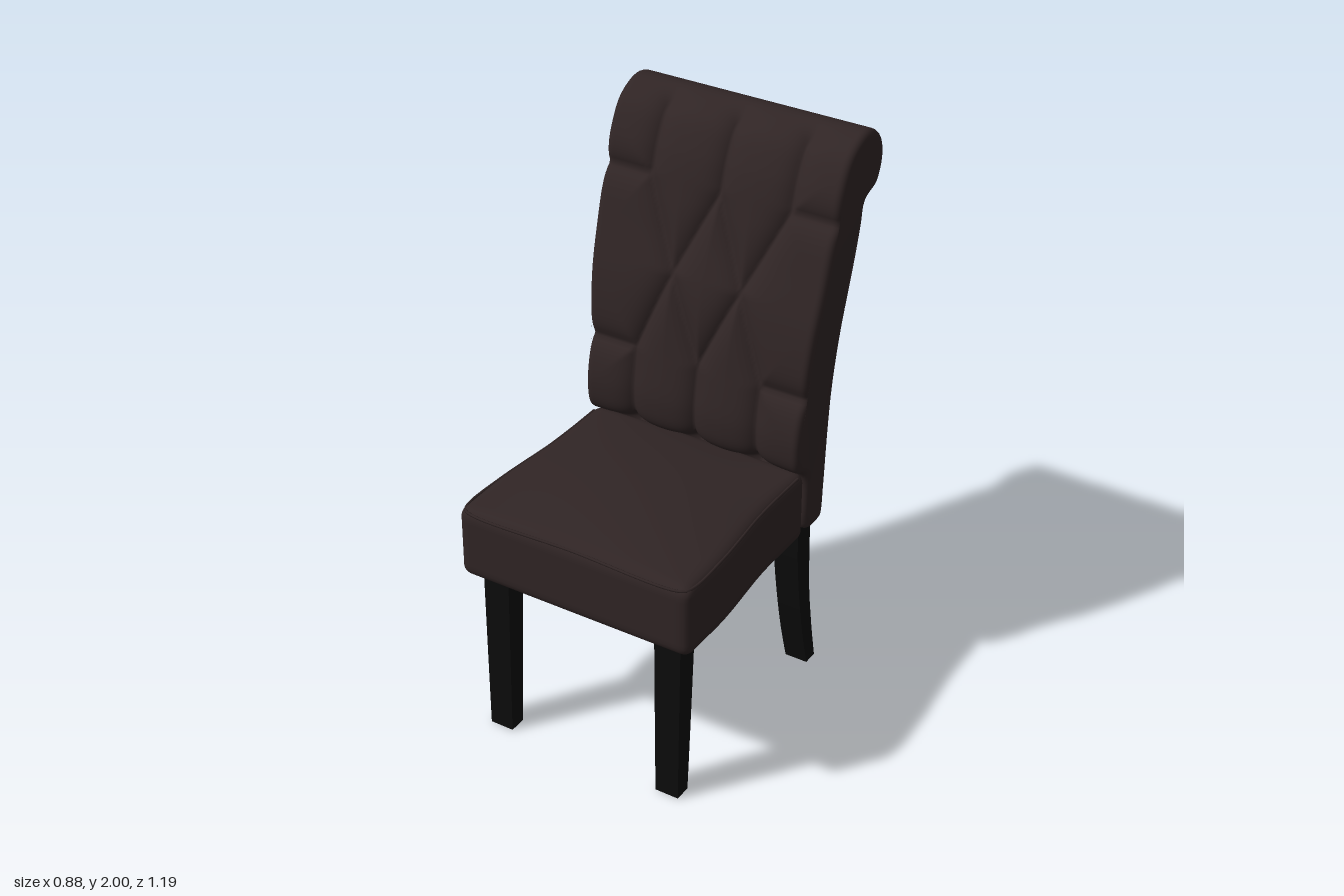
import * as THREE from 'three';
import { mergeVertices } from 'three/addons/utils/BufferGeometryUtils.js';

const { smoothstep, clamp } = THREE.MathUtils;

// Side outline of the backrest as [z, y], up the front, over the roll, down the rear
const BACK_PROFILE = [
  [-0.21, 0.64], [-0.195, 0.68], [-0.19, 0.86], [-0.135, 0.905], [-0.12, 0.99], [-0.145, 1.18],
  [-0.18, 1.40], [-0.232, 1.58], [-0.265, 1.70], [-0.315, 1.86], [-0.38, 1.96], [-0.485, 2.0],
  [-0.565, 1.96], [-0.59, 1.88], [-0.555, 1.79], [-0.48, 1.755], [-0.464, 1.69], [-0.415, 1.50],
  [-0.38, 1.34], [-0.34, 1.02], [-0.32, 0.76], [-0.31, 0.66], [-0.295, 0.64],
];

// Tufting seams of the right half as [x1, y1, x2, y2]
const SEAMS = [
  [0, 1.75, 0, 1.97], [0.26, 1.75, 0.26, 1.97], [0.26, 1.75, 0.5, 1.75],
  [0, 1.75, 0.13, 1.46], [0.26, 1.75, 0.13, 1.46],
  [0.13, 1.46, 0, 1.17], [0.13, 1.46, 0.25, 1.17],
  [0.25, 1.17, 0.5, 1.17], [0, 1.17, 0, 0.85], [0.25, 1.17, 0.25, 0.85],
];

function seamDistance(x, y) {
  let best = 1;
  for (const [x1, y1, x2, y2] of SEAMS) {
    const dx = x2 - x1, dy = y2 - y1;
    const t = clamp(((x - x1) * dx + (y - y1) * dy) / (dx * dx + dy * dy), 0, 1);
    best = Math.min(best, Math.hypot(x - x1 - t * dx, y - y1 - t * dy));
  }
  return best;
}

const widthScale = (y) => 0.95 + 0.05 * smoothstep(y, 1.05, 1.65);

// Backrest outline points with outward normals
function backOutline(count) {
  const curve = new THREE.CatmullRomCurve3(
    BACK_PROFILE.map(([z, y]) => new THREE.Vector3(z, y, 0)), true, 'centripetal');
  const pts = curve.getSpacedPoints(count).slice(0, count);
  return pts.map((p, j) => {
    const a = pts[(j + count - 1) % count], b = pts[(j + 1) % count];
    const len = Math.hypot(b.x - a.x, b.y - a.y);
    return { z: p.x, y: p.y, nz: (b.y - a.y) / len, ny: -(b.x - a.x) / len };
  });
}

// Padded shell: the outline swept across x, with rounded ends and pressed-in seams
function backShell(outline, flat, r) {
  const stations = [];
  for (let k = 0; k <= 5; k++) {
    const a = (k / 5) * Math.PI / 2;
    stations.push([-flat - r * Math.cos(a), r * (1 - Math.sin(a))]);
  }
  const steps = 104;
  for (let i = 1; i < steps; i++) stations.push([-flat + (2 * flat * i) / steps, 0]);
  for (let k = 5; k >= 0; k--) stations.push([-stations[k][0], stations[k][1]]);

  const n = outline.length, pos = [], index = [];
  stations.forEach(([x, inset], i) => {
    outline.forEach((p, j) => {
      const ax = Math.abs(x);
      let push = -inset;
      if (p.nz > 0 && p.y > 0.86) {
        push -= 0.034 * Math.exp(-seamDistance(ax, p.y) / 0.035) * smoothstep(p.nz, 0.1, 0.6);
      } else if (p.nz < -0.8 && p.y < 1.73) {
        push -= 0.013 * Math.exp(-Math.min(ax, Math.abs(ax - 0.22)) / 0.025);
      }
      pos.push(x * widthScale(p.y), p.y + p.ny * push, p.z + p.nz * push);
      if (i < stations.length - 1) {
        const k = (j + 1) % n;
        const a = i * n + j, b = a + n, c = (i + 1) * n + k, d = i * n + k;
        index.push(a, b, c, a, c, d);
      }
    });
  });
  const g = new THREE.BufferGeometry();
  g.setAttribute('position', new THREE.Float32BufferAttribute(pos, 3));
  g.setIndex(index);
  g.computeVertexNormals();
  return g;
}

// Flat side panel closing the shell; side is +1 or -1
function backSide(outline, halfWidth, r, side) {
  const shape = new THREE.Shape(outline.map((p) =>
    new THREE.Vector2(-side * (p.z - p.nz * r), p.y - p.ny * r)));
  const g = new THREE.ShapeGeometry(shape).rotateY(side * Math.PI / 2);
  const pos = g.attributes.position;
  for (let i = 0; i < pos.count; i++) pos.setX(i, side * halfWidth * widthScale(pos.getY(i)));
  g.computeVertexNormals();
  return g;
}

const seatHalfWidth = (z) => 0.41 + 0.028 * smoothstep(z, 0.02, 0.42);

// Seat cushion: a box with rounded edges, wider at the front and domed on top
function seatCushion() {
  const h = new THREE.Vector3(0.43, 0.13, 0.39), r = 0.035;
  const inner = h.clone().subScalar(r);
  let g = new THREE.BoxGeometry(h.x * 2, h.y * 2, h.z * 2, 48, 16, 48);
  g.deleteAttribute('uv');
  g.deleteAttribute('normal');
  g = mergeVertices(g);
  const pos = g.attributes.position, p = new THREE.Vector3(), c = new THREE.Vector3();
  for (let i = 0; i < pos.count; i++) {
    p.fromBufferAttribute(pos, i);
    c.copy(p).clamp(inner.clone().negate(), inner);
    p.sub(c).setLength(r).add(c);
    const u = p.x / h.x, w = p.z / h.z, v = p.y / h.y;
    const dome = 0.052 * (1 - u * u) * (1 - w * w) ** 0.8 * smoothstep(v, 0.7, 1);
    const z = p.z + 0.2;
    pos.setXYZ(i, u * seatHalfWidth(z), p.y + 0.75 + (Number.isFinite(dome) ? dome : 0), z);
  }
  g.computeVertexNormals();
  return g;
}

// Thin welt following the top edge of the seat
function seatWelt() {
  const pts = [];
  const add = (x, z) => pts.push(new THREE.Vector3(x, 0.871, z));
  const zs = [-0.15, 0, 0.12, 0.24, 0.36, 0.54];
  zs.forEach((z) => add(seatHalfWidth(z) - 0.01, z));
  add(0.41, 0.578);
  add(0, 0.581);
  add(-0.41, 0.578);
  zs.reverse().forEach((z) => add(0.01 - seatHalfWidth(z), z));
  return new THREE.TubeGeometry(new THREE.CatmullRomCurve3(pts), 120, 0.005, 6);
}

// Leg: side outline from [y, front z, rear z] rows, extruded across its width
function legGeometry(rows, width) {
  const front = new THREE.SplineCurve(rows.map(([y, f]) => new THREE.Vector2(f, y)));
  const rear = new THREE.SplineCurve(rows.map(([y, , b]) => new THREE.Vector2(b, y)));
  const shape = new THREE.Shape([...front.getPoints(12), ...rear.getPoints(12).reverse()]);
  const g = new THREE.ExtrudeGeometry(shape, { depth: width, bevelEnabled: false });
  g.translate(0, 0, -width / 2).rotateY(-Math.PI / 2);
  // slight taper towards the floor
  const pos = g.attributes.position;
  for (let i = 0; i < pos.count; i++) pos.setX(i, pos.getX(i) * (0.88 + 0.19 * pos.getY(i)));
  g.computeVertexNormals();
  return g;
}

export function createModel() {
  const leather = new THREE.MeshStandardMaterial({ color: 0x302525 });
  leather.name = 'dark brown leather';
  const wood = new THREE.MeshStandardMaterial({ color: 0x0c0c0c });
  wood.name = 'black wood';
  const lining = new THREE.MeshStandardMaterial({ color: 0x3d3422 });
  lining.name = 'olive lining';

  const chair = new THREE.Group();
  chair.name = 'diningChair';
  const add = (name, geometry, material, x = 0, y = 0, z = 0) => {
    const mesh = new THREE.Mesh(geometry, material);
    mesh.name = name;
    mesh.position.set(x, y, z);
    chair.add(mesh);
  };

  // Backrest
  const outline = backOutline(220), flat = 0.412, bevel = 0.024;
  add('backrest', backShell(outline, flat, bevel), leather);
  for (const side of [1, -1]) {
    add(side > 0 ? 'leftBackSide' : 'rightBackSide', backSide(outline, flat + bevel, bevel, side), leather);
  }

  // Seat
  add('seat', seatCushion(), leather);
  add('seatWelt', seatWelt(), leather);
  add('seatLining', new THREE.BoxGeometry(0.74, 0.008, 0.68), lining, 0, 0.621, 0.2);

  // Legs
  const frontLeg = legGeometry([[0, 0.545, 0.485], [0.3, 0.543, 0.47], [0.64, 0.54, 0.455]], 0.098);
  const backLeg = legGeometry([
    [0, -0.31, -0.365], [0.15, -0.27, -0.334], [0.33, -0.235, -0.305], [0.5, -0.213, -0.294], [0.67, -0.205, -0.288],
  ], 0.095);
  for (const side of [1, -1]) {
    const label = side > 0 ? 'left' : 'right';
    add(label + 'FrontLeg', frontLeg, wood, side * 0.33);
    add(label + 'BackLeg', backLeg, wood, side * 0.33);
  }
  return chair;
}
